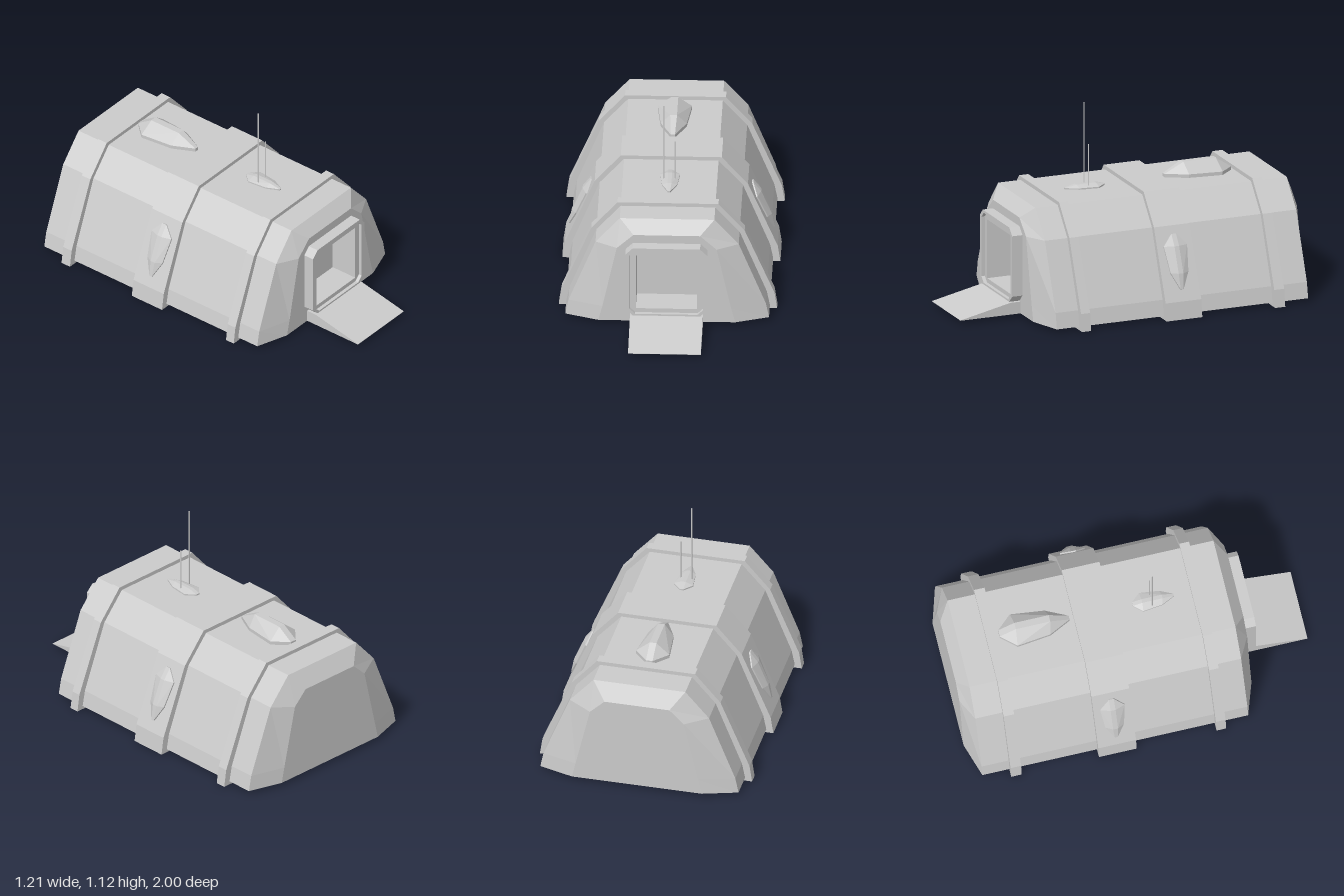
import * as THREE from 'three';
import { ConvexGeometry } from 'three/addons/geometries/ConvexGeometry.js';

const grey = new THREE.MeshStandardMaterial({ color: 0xcccccc, flatShading: true });
const inside = new THREE.MeshStandardMaterial({ color: 0xcccccc, flatShading: true, side: THREE.BackSide });

// Right half of a profile (bottom to top) -> full counter-clockwise outline
const mirror = (half) => [...half, ...half.slice().reverse().map(([x, y]) => [-x, y])];

const HULL = mirror([[0.565, 0.02], [0.547, 0.11], [0.397, 0.487], [0.262, 0.64]]);
const FRONT = mirror([[0.38, 0.02], [0.357, 0.11], [0.277, 0.485], [0.185, 0.57]]);
const BACK = mirror([[0.37, 0.02], [0.35, 0.11], [0.268, 0.465], [0.185, 0.545]]);
const BAND = mirror([[0.605, 0], [0.59, 0.1], [0.425, 0.495], [0.28, 0.662]]);

const shapeOf = (pts) => new THREE.Shape(pts.map(([x, y]) => new THREE.Vector2(x, y)));

// Rectangle with cut corners
const cutRect = (w, y0, y1, c) => mirror([[w - c, y0], [w, y0 + c], [w, y1 - c], [w - c, y1]]);
const DOORWAY = [[0.17, 0.125], [0.17, 0.465], [-0.17, 0.465], [-0.17, 0.125]];

// Flat plate or ring between two z positions
function slab(outline, z0, z1, hole) {
  const shape = shapeOf(outline);
  if (hole) shape.holes.push(shapeOf(hole));
  const geo = new THREE.ExtrudeGeometry(shape, { depth: z1 - z0, bevelEnabled: false });
  return geo.translate(0, 0, z0);
}

// Skin through outlines of equal point count, closed at the first one
function loft(rings) {
  const pos = [];
  const add = (...corners) => corners.forEach((p) => pos.push(...p));
  const at = (r, i) => [...r.pts[i % r.pts.length], r.z];
  const n = rings[0].pts.length;
  for (let k = 0; k < rings.length - 1; k++) {
    for (let i = 0; i < n; i++) {
      const a = at(rings[k], i), b = at(rings[k], i + 1);
      const c = at(rings[k + 1], i + 1), d = at(rings[k + 1], i);
      add(a, b, c, a, c, d);
    }
  }
  for (let i = 1; i < n - 1; i++) add(at(rings[0], 0), at(rings[0], i + 1), at(rings[0], i));
  const geo = new THREE.BufferGeometry();
  geo.setAttribute('position', new THREE.Float32BufferAttribute(pos, 3));
  geo.computeVertexNormals();
  return geo;
}

// Faceted teardrop: blunt end at -z, narrow end at +z, ridge on top
function podGeometry(width, length, lip, height) {
  const pts = [];
  const outline = [[0.1, -0.5], [0.5, -0.29], [0.38, 0.19], [0.06, 0.5]];
  for (const s of [-1, 1]) {
    for (const [x, z] of outline) {
      for (const y of [0, lip]) pts.push(new THREE.Vector3(s * x * width, y, z * length));
    }
    for (const z of [-0.27, 0.22]) pts.push(new THREE.Vector3(s * 0.1 * width, height, z * length));
  }
  return new ConvexGeometry(pts);
}

export function createModel() {
  const model = new THREE.Group();
  const part = (name, geo, material = grey, parent = model) => {
    const mesh = new THREE.Mesh(geo, material);
    mesh.name = name;
    parent.add(mesh);
    return mesh;
  };

  // Main shelter with tapered ends; the front wall has a doorway
  part('hull', loft([
    { pts: BACK, z: -1 }, { pts: HULL, z: -0.94 }, { pts: HULL, z: 0.575 }, { pts: FRONT, z: 0.638 },
  ]));
  const wall = shapeOf(FRONT);
  wall.holes.push(shapeOf(DOORWAY));
  part('frontWall', new THREE.ShapeGeometry(wall).translate(0, 0, 0.638));

  // Ribs around the hull
  const ribs = { frontRib: [0.385, 0.44], middleRib: [-0.285, -0.07], backRib: [-0.785, -0.725] };
  for (const [name, [z0, z1]] of Object.entries(ribs)) part(name, slab(BAND, z0, z1));

  // Door frame, inner frame and recess
  const door = new THREE.Group();
  door.name = 'door';
  model.add(door);
  part('doorFrame', slab(cutRect(0.227, 0.09, 0.52, 0.04), 0.62, 0.7, cutRect(0.203, 0.1, 0.505, 0.03)), grey, door);
  part('innerFrame', slab(cutRect(0.203, 0.1, 0.505, 0.03), 0.625, 0.68, DOORWAY), grey, door);
  const recess = new THREE.BoxGeometry(0.34, 0.34, 0.16).translate(0, 0.295, 0.6);
  const index = Array.from(recess.index.array);
  index.splice(24, 6); // open towards the front
  recess.setIndex(index);
  recess.clearGroups();
  part('doorRecess', recess, inside, door);

  // Entry ramp: wedge profile in (z, y), swept along x
  const wedge = shapeOf([[-0.62, 0.02], [-0.62, 0.088], [-0.7, 0.088], [-1, 0.022], [-1, 0.02]].reverse());
  const ramp = new THREE.ExtrudeGeometry(wedge, { depth: 0.404, bevelEnabled: false });
  part('ramp', ramp.translate(0, 0, -0.202).rotateY(Math.PI / 2));

  // Roof pod
  part('roofPod', podGeometry(0.19, 0.4, 0.02, 0.08)).position.set(0, 0.64, -0.51);

  // Side pods lying on the sloped faces of the middle rib
  for (const s of [-1, 1]) {
    const out = new THREE.Vector3(s * 0.923, 0.385, 0);
    const down = new THREE.Vector3(s * 0.385, -0.923, 0);
    const across = new THREE.Vector3().crossVectors(out, down);
    const pod = part(s > 0 ? 'leftPod' : 'rightPod', podGeometry(0.14, 0.314, 0.008, 0.026));
    pod.quaternion.setFromRotationMatrix(new THREE.Matrix4().makeBasis(across, out, down));
    pod.position.set(s * 0.504, 0.305, -0.178);
  }

  // Antennas on a small base
  part('antennaBase', podGeometry(0.11, 0.235, 0.008, 0.022)).position.set(0, 0.64, 0.168);
  for (const [name, x, top] of [['tallAntenna', -0.033, 1.12], ['shortAntenna', 0.03, 0.893]]) {
    const height = top - 0.65;
    part(name, new THREE.CylinderGeometry(0.004, 0.004, height, 8)).position.set(x, 0.65 + height / 2, 0.155);
  }
  return model;
}
